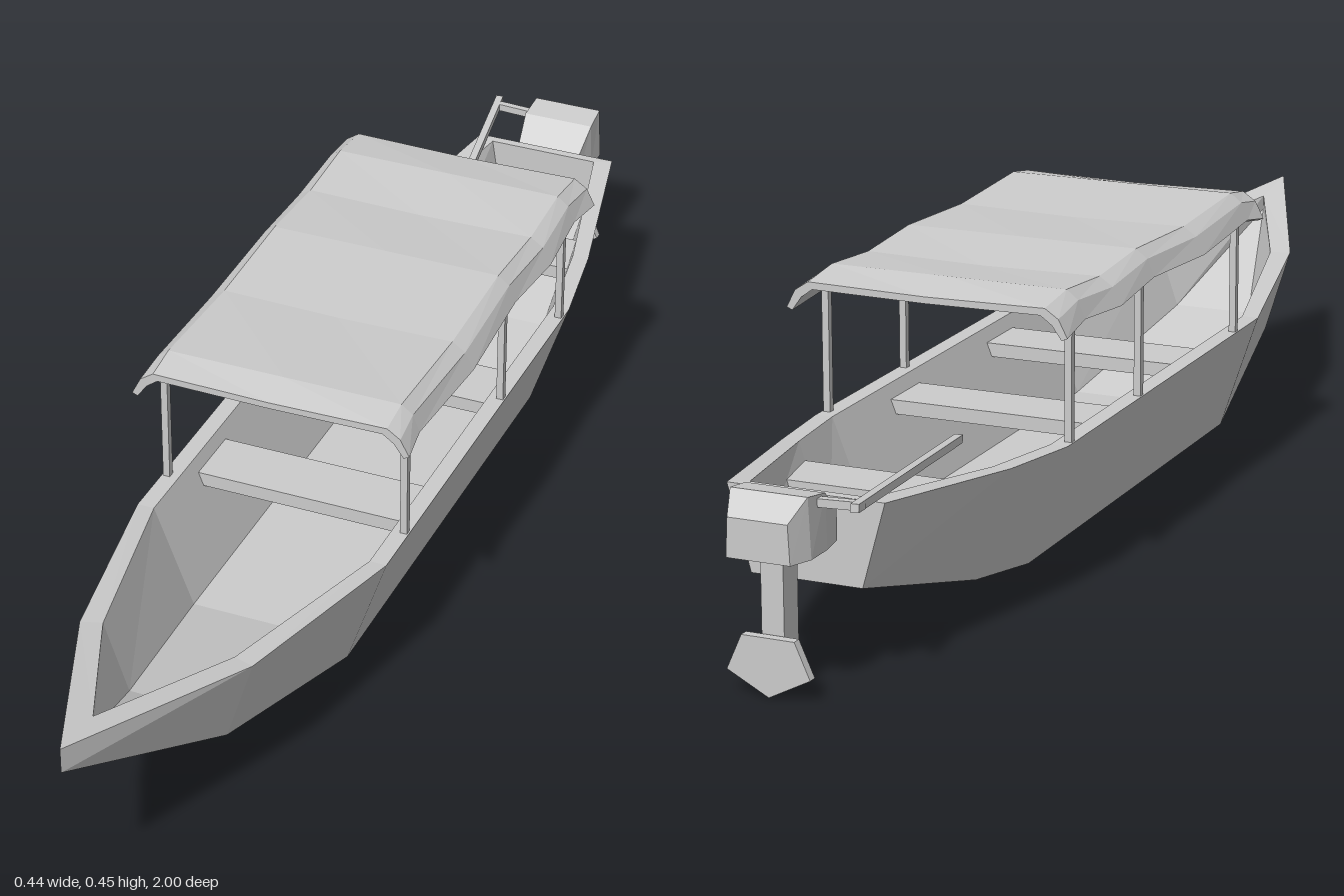
import * as THREE from 'three';

const material = new THREE.MeshStandardMaterial({ color: 0xcccccc, flatShading: true });

function addMesh(parent, name, geometry) {
  const mesh = new THREE.Mesh(geometry, material);
  mesh.name = name;
  parent.add(mesh);
  return mesh;
}

// Skin closed rings, listed from front to back, each counter-clockwise seen from +z.
function loft(rings, addCaps) {
  const pos = [];
  const quad = (a, b, c, d) => {
    for (const p of [a, b, c, a, c, d]) pos.push(...p);
  };
  const n = rings[0].length;
  for (let r = 0; r < rings.length - 1; r++) {
    const a = rings[r], b = rings[r + 1];
    for (let i = 0; i < n; i++) {
      const j = (i + 1) % n;
      quad(a[i], b[i], b[j], a[j]);
    }
  }
  addCaps(quad, rings[0], rings[rings.length - 1]);
  const geometry = new THREE.BufferGeometry();
  geometry.setAttribute('position', new THREE.Float32BufferAttribute(pos, 3));
  geometry.computeVertexNormals();
  return geometry;
}

// Close both ends of a ring whose lower and upper halves mirror each other.
function flatCaps(quad, front, back) {
  const n = front.length;
  for (let i = 0; i < n / 2 - 1; i++) {
    const k = [i, i + 1, n - 2 - i, n - 1 - i];
    quad(...k.map((j) => front[j]));
    quad(...k.reverse().map((j) => back[j]));
  }
}

const trapezoid = (z, wBottom, yBottom, wTop, yTop) => [
  [-wBottom, yBottom, z], [wBottom, yBottom, z], [wTop, yTop, z], [-wTop, yTop, z],
];

function createHull() {
  // outer: z, rim half width, rim y, keel half width, keel y | inner: z, rim half width, rim y, floor half width, floor y
  const stations = [
    [1.0, 0, 0.3, 0, 0.26, 0.9, 0, 0.285, 0, 0.262],
    [0.67, 0.135, 0.25, 0.093, 0.115, 0.66, 0.103, 0.25, 0.065, 0.14],
    [0.34, 0.202, 0.225, 0.14, 0.04, 0.34, 0.175, 0.225, 0.113, 0.065],
    [-0.43, 0.202, 0.225, 0.14, 0.04, -0.43, 0.175, 0.225, 0.113, 0.065],
    [-0.58, 0.18, 0.232, 0.125, 0.06, -0.58, 0.153, 0.232, 0.105, 0.085],
    [-0.86, 0.12, 0.256, 0.085, 0.13, -0.845, 0.092, 0.256, 0.075, 0.15],
  ];
  const rings = stations.map(([z, w, y, kw, ky, zi, wi, yi, fw, fy]) => [
    [-kw, ky, z], [kw, ky, z], [w, y, z], [wi, yi, zi],
    [fw, fy, zi], [-fw, fy, zi], [-wi, yi, zi], [-w, y, z],
  ]);
  return loft(rings, (quad, bow, stern) => {
    // transom: outside, top edge, inside
    for (const k of [[7, 2, 1, 0], [7, 6, 3, 2], [5, 4, 3, 6]]) quad(...k.map((j) => stern[j]));
  });
}

function createCanopy() {
  // z and whether the cloth sags there between supports
  const stations = [[0.305, 1], [0.25, 0], [0.05, 1], [-0.14, 0], [-0.28, 1], [-0.4, 0], [-0.478, 1]];
  const rings = stations.map(([z, sag]) => {
    const y = 0.449 - 0.009 * sag, out = 0.006 * sag;
    const under = [[0, -0.01 - 0.003 * sag], [0.18, -0.011], [0.195 + out / 2, -0.024], [0.207 + out, -0.045]];
    const over = [[0, -0.003 * sag], [0.187, 0], [0.205 + out / 2, -0.014], [0.216 + out, -0.041]];
    const mirror = (half) => [...half.slice(1).reverse().map(([x, h]) => [-x, h]), ...half];
    return [...mirror(under), ...mirror(over).reverse()].map(([x, h]) => [x, y + h, z]);
  });
  return loft(rings, flatCaps);
}

// Square bar between two points
function addBar(parent, name, from, to, size) {
  const a = new THREE.Vector3(...from), b = new THREE.Vector3(...to);
  const bar = addMesh(parent, name, new THREE.BoxGeometry(size, size, a.distanceTo(b)));
  bar.position.copy(a).add(b).multiplyScalar(0.5);
  bar.lookAt(b);
}

function createMotor() {
  const motor = new THREE.Group();
  motor.name = 'outboardMotor';

  addMesh(motor, 'motorHead', loft([
    trapezoid(-0.875, 0.055, 0.2, 0.055, 0.245),
    trapezoid(-0.918, 0.062, 0.2, 0.06, 0.28),
    trapezoid(-0.965, 0.062, 0.2, 0.058, 0.287),
    trapezoid(-1.0, 0.048, 0.2, 0.045, 0.257),
  ], flatCaps));

  const leg = addMesh(motor, 'motorLeg', new THREE.BoxGeometry(0.034, 0.19, 0.042));
  leg.position.set(0, 0.112, -0.94);

  // Five-sided plate behind the leg
  const outline = [[0, 0], [0.063, 0.033], [0.04, 0.085], [-0.04, 0.085], [-0.063, 0.033]];
  const shape = new THREE.Shape(outline.map(([x, y]) => new THREE.Vector2(x, y)));
  const blade = addMesh(motor, 'propellerPlate',
    new THREE.ExtrudeGeometry(shape, { depth: 0.014, bevelEnabled: false }));
  blade.position.z = -0.977;

  addBar(motor, 'tillerBracket', [-0.125, 0.275, -0.935], [-0.05, 0.272, -0.935], 0.012);
  addBar(motor, 'tillerHandle', [-0.122, 0.277, -0.955], [-0.06, 0.238, -0.495], 0.012);
  return motor;
}

export function createModel() {
  const boat = new THREE.Group();
  boat.name = 'boat';

  addMesh(boat, 'hull', createHull());

  // Benches: z front, z back, half width front, half width back
  for (const [z0, z1, w0, w1] of [[0.2, 0.1, 0.168, 0.168], [-0.15, -0.25, 0.168, 0.168], [-0.58, -0.672, 0.148, 0.128]]) {
    addMesh(boat, 'bench', loft([
      trapezoid(z0, w0 - 0.008, 0.182, w0, 0.204),
      trapezoid(z1, w1 - 0.008, 0.182, w1, 0.204),
    ], flatCaps));
  }

  // Canopy and its posts
  addMesh(boat, 'canopy', createCanopy());
  for (const side of [-1, 1]) {
    for (const z of [0.25, -0.145, -0.405]) {
      const post = addMesh(boat, 'canopyPost', new THREE.BoxGeometry(0.011, 0.215, 0.011));
      post.position.set(side * 0.194, 0.326, z);
    }
  }

  boat.add(createMotor());
  return boat;
}
